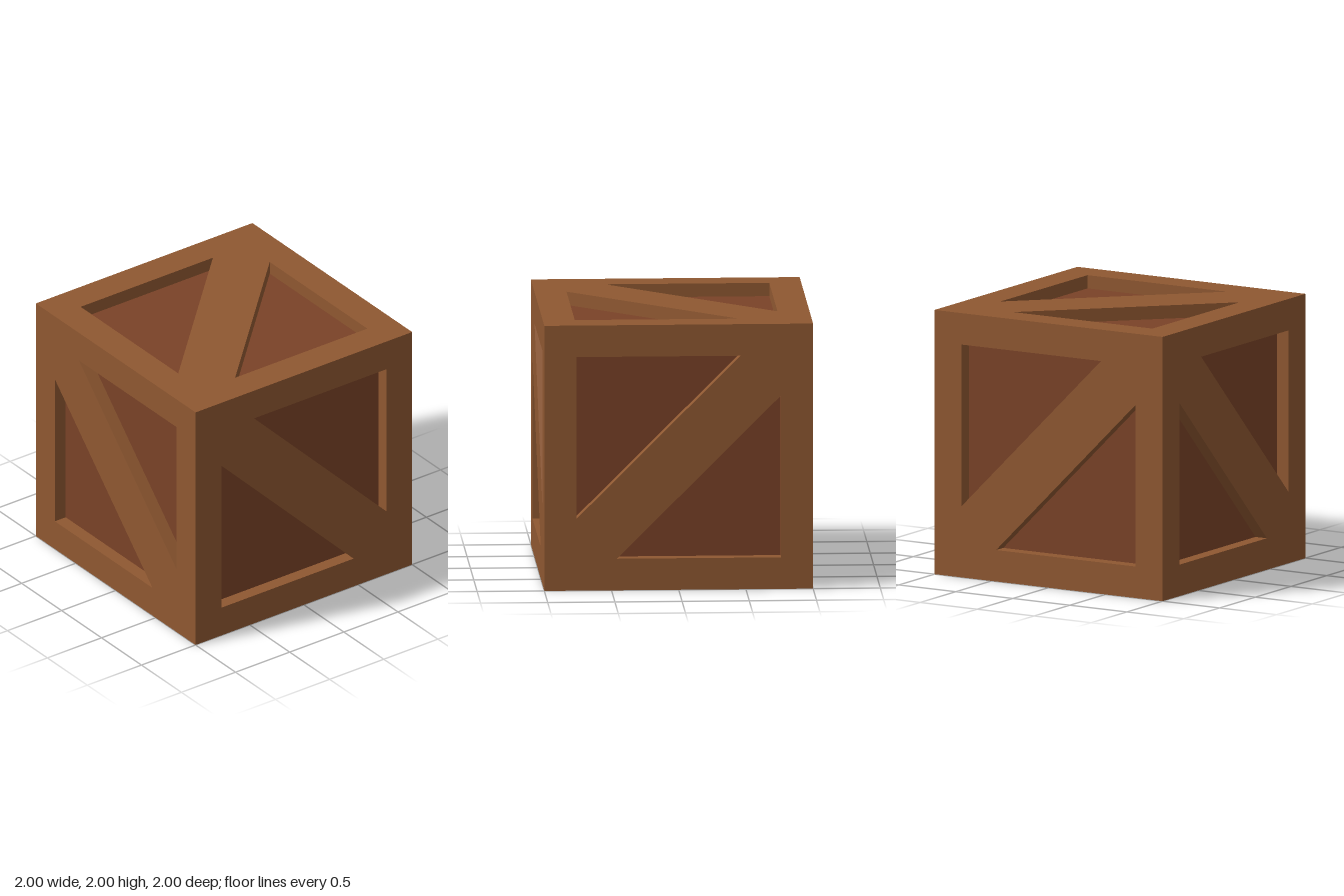
import * as THREE from 'three';

const DEPTH = 0.1;   // recess depth of the panels
const INNER = 0.762; // inner edge of the frame
const TIP = 0.46;    // where the brace meets the frame

// Square board with two triangular openings, leaving a diagonal brace
function faceGeometry() {
  const shape = new THREE.Shape([[-1, -1], [1, -1], [1, 1], [-1, 1]].map(p => new THREE.Vector2(...p)));
  for (const s of [1, -1]) {
    shape.holes.push(new THREE.Path([
      new THREE.Vector2(s * INNER, s * INNER),
      new THREE.Vector2(-s * TIP, s * INNER),
      new THREE.Vector2(s * INNER, -s * TIP),
    ]));
  }
  const geo = new THREE.ExtrudeGeometry(shape, { depth: DEPTH, bevelEnabled: false });
  geo.translate(0, 0, 1 - DEPTH);

  // Mitre the outer back edge so neighbouring boards meet at 45 degrees
  const pos = geo.attributes.position;
  const mitre = v => (Math.abs(v) > 0.99 ? Math.sign(v) * (1 - DEPTH) : v);
  for (let i = 0; i < pos.count; i++) {
    if (pos.getZ(i) < 1 - DEPTH / 2) pos.setXY(i, mitre(pos.getX(i)), mitre(pos.getY(i)));
  }
  geo.computeVertexNormals();
  return geo;
}

export function createModel() {
  const crate = new THREE.Group();
  crate.name = 'crate';
  const frameMat = new THREE.MeshStandardMaterial({ color: 0x8f5831 });
  const panelMat = new THREE.MeshStandardMaterial({ color: 0x7a4227 });

  // Recessed panels: the inner box seen through the openings
  const size = 2 - 2 * DEPTH;
  const panels = new THREE.Mesh(new THREE.BoxGeometry(size, size, size), panelMat);
  panels.name = 'innerPanels';
  panels.position.y = 1;
  crate.add(panels);

  // Braced frames; the last angle turns the brace to the other diagonal
  const q = Math.PI / 2;
  const frames = {
    frontFrame: [0, 0, 0],
    leftFrame: [0, q, q],
    backFrame: [0, 2 * q, q],
    rightFrame: [0, -q, 0],
    topFrame: [-q, 0, q],
    bottomFrame: [q, 0, 0],
  };
  const geo = faceGeometry();
  for (const [name, angles] of Object.entries(frames)) {
    const frame = new THREE.Mesh(geo, frameMat);
    frame.name = name;
    frame.rotation.set(...angles);
    frame.position.y = 1;
    crate.add(frame);
  }
  return crate;
}
